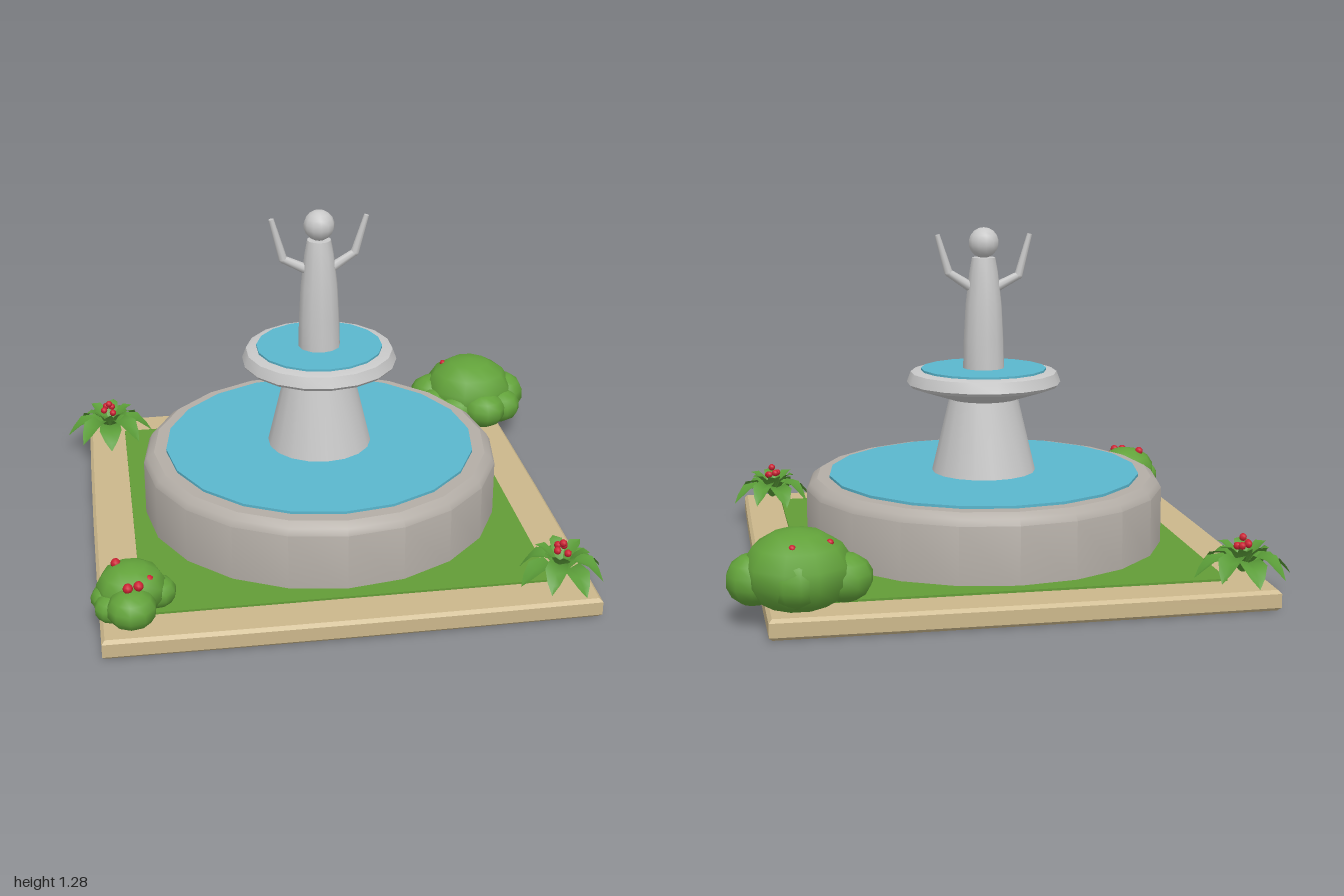
import * as THREE from 'three';
import { toCreasedNormals, mergeVertices } from 'three/addons/utils/BufferGeometryUtils.js';

const paint = (name, color, extra = {}) => {
  const m = new THREE.MeshStandardMaterial({ color, ...extra });
  m.name = name;
  return m;
};

export function createModel() {
  const wood = paint('sandy wood', 0xcbb78b);
  const grass = paint('grass green', 0x639c37);
  const stone = paint('warm stone', 0xb3ada6);
  const marble = paint('pale stone', 0xc8c8c8);
  const water = paint('water blue', 0x5ab6cd);
  const foliage = paint('bush green', 0x62a23a);
  const leafGreen = paint('leaf green', 0x5a9c38, { side: THREE.DoubleSide });
  const red = paint('berry red', 0xcc2233);

  const model = new THREE.Group();
  model.name = 'fountain';
  const add = (parent, name, geo, mat, x = 0, y = 0, z = 0) => {
    const m = new THREE.Mesh(geo, mat);
    m.name = name;
    m.position.set(x, y, z);
    parent.add(m);
    return m;
  };
  const lathe = (pts, sides) => toCreasedNormals(
    new THREE.LatheGeometry(pts.map(p => new THREE.Vector2(...p)), sides), 0.55);

  // Everything but the plants shares an axis slightly left of the origin
  const centre = new THREE.Group();
  centre.name = 'fountainCentre';
  centre.position.x = -0.02;
  model.add(centre);

  // Square slab with faintly bowed, bevelled edges
  const slab = (half, bow, depth, bevel) => {
    const s = new THREE.Shape();
    const h = half, b = half + bow * 2;
    s.moveTo(-h, -h);
    s.quadraticCurveTo(0, -b, h, -h);
    s.quadraticCurveTo(b, 0, h, h);
    s.quadraticCurveTo(0, b, -h, h);
    s.quadraticCurveTo(-b, 0, -h, -h);
    const g = new THREE.ExtrudeGeometry(s, {
      depth, curveSegments: 4, bevelEnabled: bevel > 0,
      bevelSize: bevel, bevelThickness: bevel, bevelSegments: 1 });
    return g.rotateX(-Math.PI / 2);
  };
  add(centre, 'woodenBase', slab(0.874, 0.006, 0.05, 0.012), wood, 0, 0.012, 0);
  add(centre, 'lawn', slab(0.738, 0, 0.012, 0), grass, 0, 0.07, 0);

  // Lower pool
  add(centre, 'poolWall', lathe(
    [[0.685, 0.07], [0.685, 0.295], [0.672, 0.318], [0.645, 0.337], [0, 0.337]], 20), stone);
  add(centre, 'poolWater', new THREE.CylinderGeometry(0.597, 0.597, 0.012, 20), water, 0, 0.341, 0);

  // Pedestal and upper bowl
  add(centre, 'pedestal', lathe([[0.202, 0.335], [0.128, 0.645]], 18), marble);
  add(centre, 'upperBowl', lathe(
    [[0, 0.625], [0.135, 0.63], [0.285, 0.68], [0.295, 0.692], [0.28, 0.732], [0.262, 0.738], [0, 0.738]], 18), marble);
  add(centre, 'upperWater', new THREE.CylinderGeometry(0.24, 0.24, 0.012, 18), water, 0, 0.74, 0);

  // Statue
  const statue = new THREE.Group();
  statue.name = 'statue';
  centre.add(statue);
  add(statue, 'body', lathe(
    [[0.08, 0.74], [0.077, 0.86], [0.07, 0.99], [0.055, 1.115], [0.045, 1.168], [0, 1.17]], 12), marble);
  add(statue, 'head', new THREE.SphereGeometry(0.058, 12, 9), marble, 0, 1.224, 0);
  const limb = (name, a, b, r0, r1) => {
    const from = new THREE.Vector3(...a), to = new THREE.Vector3(...b);
    const dir = to.clone().sub(from);
    const m = add(statue, name, new THREE.CylinderGeometry(r1, r0, dir.length(), 8), marble);
    m.position.copy(from).add(to).multiplyScalar(0.5);
    m.quaternion.setFromUnitVectors(new THREE.Vector3(0, 1, 0), dir.normalize());
  };
  const arms = [['right', [-0.135, 1.098, 0], [-0.178, 1.255, 0]],
    ['left', [0.135, 1.112, 0], [0.178, 1.255, 0]]];
  for (const [side, elbow, hand] of arms) {
    limb(side + 'UpperArm', [Math.sign(elbow[0]) * 0.04, 1.05, 0], elbow, 0.02, 0.015);
    limb(side + 'Forearm', elbow, hand, 0.016, 0.01);
    add(statue, side + 'Elbow', new THREE.SphereGeometry(0.016, 8, 6), marble, ...elbow);
  }

  const berries = (parent, list, r) => list.forEach(p =>
    add(parent, 'berry', new THREE.SphereGeometry(r, 8, 6), red, ...p));

  // Bushes: overlapping rounded lobes [x, y, z, radius, height ratio]
  const bush = (name, lobes, fruit, r) => {
    const g = new THREE.Group();
    g.name = name;
    model.add(g);
    lobes.forEach(([x, y, z, rad, squash], i) => {
      const m = add(g, 'bushLobe', new THREE.SphereGeometry(rad, 10, 7), foliage, x, y, z);
      m.scale.y = squash;
      m.rotation.y = i * 0.7;
    });
    berries(g, fruit, r);
  };
  bush('backLeftBush', [
    [0.755, 0.19, -0.715, 0.193, 0.75],
    [0.6, 0.165, -0.74, 0.1, 0.85],
    [0.6, 0.15, -0.65, 0.085, 0.85],
    [0.905, 0.165, -0.71, 0.095, 0.95],
    [0.79, 0.155, -0.565, 0.095, 0.8],
    [0.68, 0.15, -0.6, 0.085, 0.8],
    [0.77, 0.18, -0.81, 0.1, 0.95],
    [0.87, 0.15, -0.61, 0.09, 0.8],
  ], [[0.65, 0.295, -0.77], [0.78, 0.295, -0.825]], 0.013);
  bush('frontRightBush', [
    [-0.79, 0.165, 0.69, 0.125, 0.75],
    [-0.87, 0.135, 0.7, 0.065, 0.8],
    [-0.705, 0.14, 0.69, 0.072, 0.8],
    [-0.795, 0.15, 0.81, 0.088, 0.8],
    [-0.76, 0.155, 0.62, 0.072, 0.9],
    [-0.86, 0.13, 0.76, 0.065, 0.8],
  ], [[-0.805, 0.228, 0.805], [-0.768, 0.23, 0.798], [-0.73, 0.218, 0.74], [-0.84, 0.247, 0.66]], 0.018);

  // Leaf blade from folded cross-sections [reach, height, half width]
  const blade = (stations) => {
    const pos = [], idx = [];
    stations.forEach(([r, y, w], i) => {
      pos.push(r, y + w * 0.3, -w, r, y, 0, r, y + w * 0.3, w);
      if (i === 0) return;
      for (let k = 0; k < 2; k++) {
        const a = (i - 1) * 3 + k, b = a + 3;
        idx.push(a, a + 1, b, a + 1, b + 1, b);
      }
    });
    const g = new THREE.BufferGeometry();
    g.setAttribute('position', new THREE.Float32BufferAttribute(pos, 3));
    g.setIndex(idx);
    g.computeVertexNormals();
    return g;
  };
  const outer = blade([[0.005, 0.1, 0.012], [0.06, 0.15, 0.04], [0.12, 0.14, 0.046], [0.155, 0.11, 0.026], [0.18, 0.085, 0]]);
  const inner = blade([[0.005, 0.11, 0.01], [0.035, 0.165, 0.026], [0.07, 0.195, 0.024], [0.1, 0.2, 0]]);

  // Leafy plants: a wide drooping ring, a small upright ring and berries
  const plant = (name, x, z, turn, size) => {
    const g = new THREE.Group();
    g.name = name;
    g.position.set(x, 0, z);
    model.add(g);
    for (let i = 0; i < 8; i++) {
      const m = add(g, 'outerLeaf', outer, leafGreen);
      m.rotation.y = turn + i * Math.PI / 4;
      const s = size * (i % 2 ? 0.92 : 1);
      m.scale.set(s, i % 2 ? 1.08 : 1, s);
    }
    for (let i = 0; i < 6; i++) {
      add(g, 'innerLeaf', inner, leafGreen).rotation.y = turn + 0.3 + i * Math.PI / 3;
    }
    berries(g, [[0, 0.225, 0.005], [-0.022, 0.2, 0.012], [0.012, 0.2, -0.022], [-0.012, 0.205, -0.02], [0.015, 0.19, 0.02]], 0.014);
  };
  plant('backRightPlant', -0.82, -0.72, 0, 1);
  plant('frontLeftPlant', 0.755, 0.725, 0.3, 0.94);

  return model;
}
